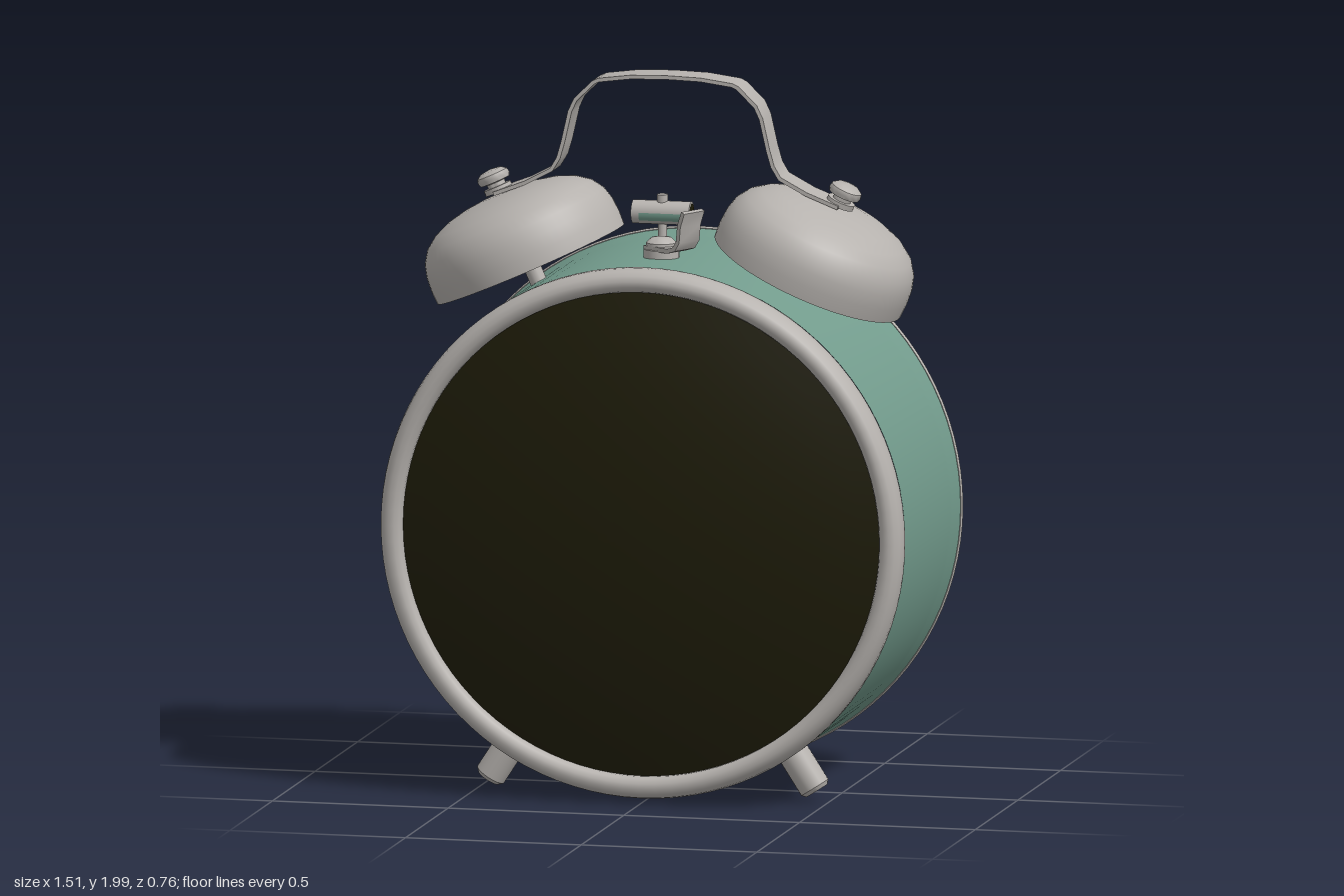
import * as THREE from 'three';
import { toCreasedNormals } from 'three/addons/utils/BufferGeometryUtils.js';

const mat = (name, color, side = THREE.FrontSide) => {
  const m = new THREE.MeshStandardMaterial({ color, side });
  m.name = name;
  return m;
};

export function createModel() {
  const green = mat('green enamel', 0x739c8d, THREE.DoubleSide);
  const metal = mat('satin metal', 0xb6b2ae, THREE.DoubleSide);
  const dark = mat('dark face', 0x1d1b08);

  const root = new THREE.Group();
  root.name = 'alarmClock';
  const CY = 0.76; // centre height of the case
  const BZ = -0.035; // depth of bells, hammer and handle

  const add = (parent, name, geo, material, x = 0, y = 0, z = 0) => {
    const m = new THREE.Mesh(geo, material);
    m.name = name;
    m.position.set(x, y, z);
    parent.add(m);
    return m;
  };
  const lathe = (pts, seg = 64) => toCreasedNormals(
    new THREE.LatheGeometry(pts.map(p => new THREE.Vector2(p[0], p[1])), seg), 0.7);
  const cyl = (r, h, seg = 20) => new THREE.CylinderGeometry(r, r, h, seg);

  // Strip of constant thickness along a path, extruded to a width centred on z
  const strip = (pts, thick, width) => {
    const side = s => pts.map((p, i) => {
      const a = pts[Math.max(i - 1, 0)], b = pts[Math.min(i + 1, pts.length - 1)];
      const dx = b[0] - a[0], dy = b[1] - a[1], l = Math.hypot(dx, dy);
      return new THREE.Vector2(p[0] - dy / l * thick * s, p[1] + dx / l * thick * s);
    });
    const shape = new THREE.Shape([...side(0.5), ...side(-0.5).reverse()]);
    const g = new THREE.ExtrudeGeometry(shape, { depth: width, bevelEnabled: false });
    return toCreasedNormals(g.translate(0, 0, -width / 2), 0.6);
  };

  // Case: lathed parts whose axis points to the front
  const clockCase = new THREE.Group();
  clockCase.name = 'case';
  clockCase.position.y = CY;
  root.add(clockCase);
  const turned = (name, pts, material, seg = 96) => {
    const m = add(clockCase, name, lathe(pts, seg), material);
    m.rotation.x = Math.PI / 2;
    return m;
  };
  turned('caseShell', [[0.75, -0.368], [0.748, -0.35], [0.742, -0.295], [0.74, -0.275],
    [0.74, 0.25]], green);
  turned('backRim', [[0.74, -0.364], [0.742, -0.374], [0.75, -0.376], [0.755, -0.368],
    [0.751, -0.36], [0.74, -0.364]], metal);
  turned('bezel', [[0.7, 0.25], [0.736, 0.252], [0.743, 0.262], [0.743, 0.287], [0.738, 0.308],
    [0.727, 0.322], [0.712, 0.329], [0.696, 0.327], [0.684, 0.318], [0.679, 0.305],
    [0.679, 0.28]], metal);
  const dome = [];
  for (let i = 0; i <= 12; i++) {
    const r = 0.682 * (1 - i / 12);
    dome.push([r, 0.38 - 0.09 * (r / 0.682) ** 2]);
  }
  turned('frontGlass', dome, dark);
  turned('backPlate', [[0, -0.322], [0.56, -0.322], [0.59, -0.318], [0.612, -0.305],
    [0.625, -0.28], [0.632, -0.24], [0.735, -0.235]], dark);

  // Back fittings
  for (const s of [-1, 1]) {
    const k = turned('windingKnob', [[0, -0.382], [0.035, -0.38], [0.049, -0.374],
      [0.056, -0.36], [0.056, -0.315]], dark, 24);
    k.position.set(s * 0.2475, 0.225, 0);
  }
  turned('centrePin', [[0, -0.345], [0.01, -0.345], [0.01, -0.315]], metal, 12);
  for (const a of [28, 152, 270]) {
    const t = a * Math.PI / 180;
    const screw = turned('backScrew', [[0, -0.258], [0.014, -0.256], [0.02, -0.247],
      [0.02, -0.23]], metal, 12);
    screw.position.set(0.69 * Math.cos(t), 0.69 * Math.sin(t), 0);
  }
  const ridge = (name, w, h, d, x, y) =>
    add(clockCase, name, new THREE.BoxGeometry(w, h, d), dark, x, y, -0.317 - d / 2);
  for (const s of [-1, 1]) {
    ridge('compartmentSide', 0.008, 0.37, 0.011, s * 0.305, -0.265);
    ridge('coverSide', 0.008, 0.195, 0.011, s * 0.196, -0.243);
  }
  ridge('coverTop', 0.4, 0.008, 0.011, 0, -0.146);
  ridge('coverBottom', 0.4, 0.008, 0.011, 0, -0.34);
  ridge('compartmentLedge', 0.62, 0.045, 0.015, 0, -0.445);
  ridge('compartmentTab', 0.16, 0.05, 0.03, 0, -0.44);

  // Bells with posts and nuts, and the feet, mirrored left and right
  for (const s of [-1, 1]) {
    const bell = new THREE.Group();
    bell.name = s > 0 ? 'leftBell' : 'rightBell';
    bell.position.set(s * 0.394, 1.447, BZ);
    bell.rotation.z = -s * 0.42;
    root.add(bell);
    add(bell, 'bellCup', lathe([[0.281, 0], [0.283, 0.04], [0.28, 0.08], [0.27, 0.116],
      [0.248, 0.149], [0.213, 0.175], [0.165, 0.195], [0.11, 0.207], [0.055, 0.213],
      [0, 0.215]]), metal);
    add(bell, 'bellPost', cyl(0.024, 0.34), metal, 0, 0.04);
    add(bell, 'bellWasher', cyl(0.04, 0.016, 24), metal, 0, 0.228);
    add(bell, 'bellNut', lathe([[0.026, 0.22], [0.026, 0.247], [0.043, 0.25], [0.047, 0.26],
      [0.044, 0.272], [0.03, 0.282], [0, 0.286]], 24), metal);

    const foot = add(root, 'foot', lathe([[0, -0.09], [0.034, -0.09], [0.044, -0.079],
      [0.044, 0.09]], 24), metal, s * 0.418, 0.112, 0.16);
    foot.rotation.z = s * 0.573;
  }

  // Carrying handle
  const half = [[0.49, 1.647], [0.4, 1.682], [0.325, 1.722], [0.305, 1.755], [0.292, 1.80],
    [0.272, 1.888], [0.256, 1.922], [0.205, 1.972], [0.19, 1.979], [0.1, 1.991]];
  add(root, 'handle', strip([...half.map(p => [-p[0], p[1]]), [0, 1.994],
    ...half.slice().reverse()], 0.011, 0.097), metal, 0, 0, BZ);

  // Hammer between the bells, with dark ends and a green band on its face
  const hammer = new THREE.Group();
  hammer.name = 'hammer';
  hammer.position.set(0, 0, BZ);
  root.add(hammer);
  add(hammer, 'hammerRod', cyl(0.013, 0.18, 12), metal, -0.02, 1.56);
  add(hammer, 'hammerHead', cyl(0.033, 0.165, 24), metal, -0.02, 1.607).rotation.z = Math.PI / 2;
  add(hammer, 'hammerTip', cyl(0.016, 0.03, 12), metal, -0.02, 1.643);
  for (const s of [-1, 1]) {
    add(hammer, 'hammerEnd', new THREE.CircleGeometry(0.028, 20), dark,
      -0.02 + s * 0.0835, 1.607).rotation.y = s * Math.PI / 2;
  }
  add(hammer, 'hammerBand', new THREE.CylinderGeometry(0.034, 0.034, 0.12, 8, 1, true, -0.65, 0.7),
    green, -0.02, 1.607).rotation.z = Math.PI / 2;

  // Alarm stop lever
  const lever = new THREE.Group();
  lever.name = 'stopLever';
  lever.position.set(0, 0, 0.06);
  lever.rotation.y = -0.52;
  root.add(lever);
  add(lever, 'leverBase', cyl(0.05, 0.025, 24), metal, 0, 1.51);
  add(lever, 'leverScrew', lathe([[0.042, 1.528], [0.042, 1.54], [0.028, 1.553],
    [0, 1.557]], 24), metal);
  add(lever, 'leverBlade', strip([[-0.03, 1.526], [0.06, 1.526], [0.085, 1.534], [0.1, 1.555],
    [0.105, 1.60], [0.12, 1.64]], 0.013, 0.082), metal);

  return root;
}
